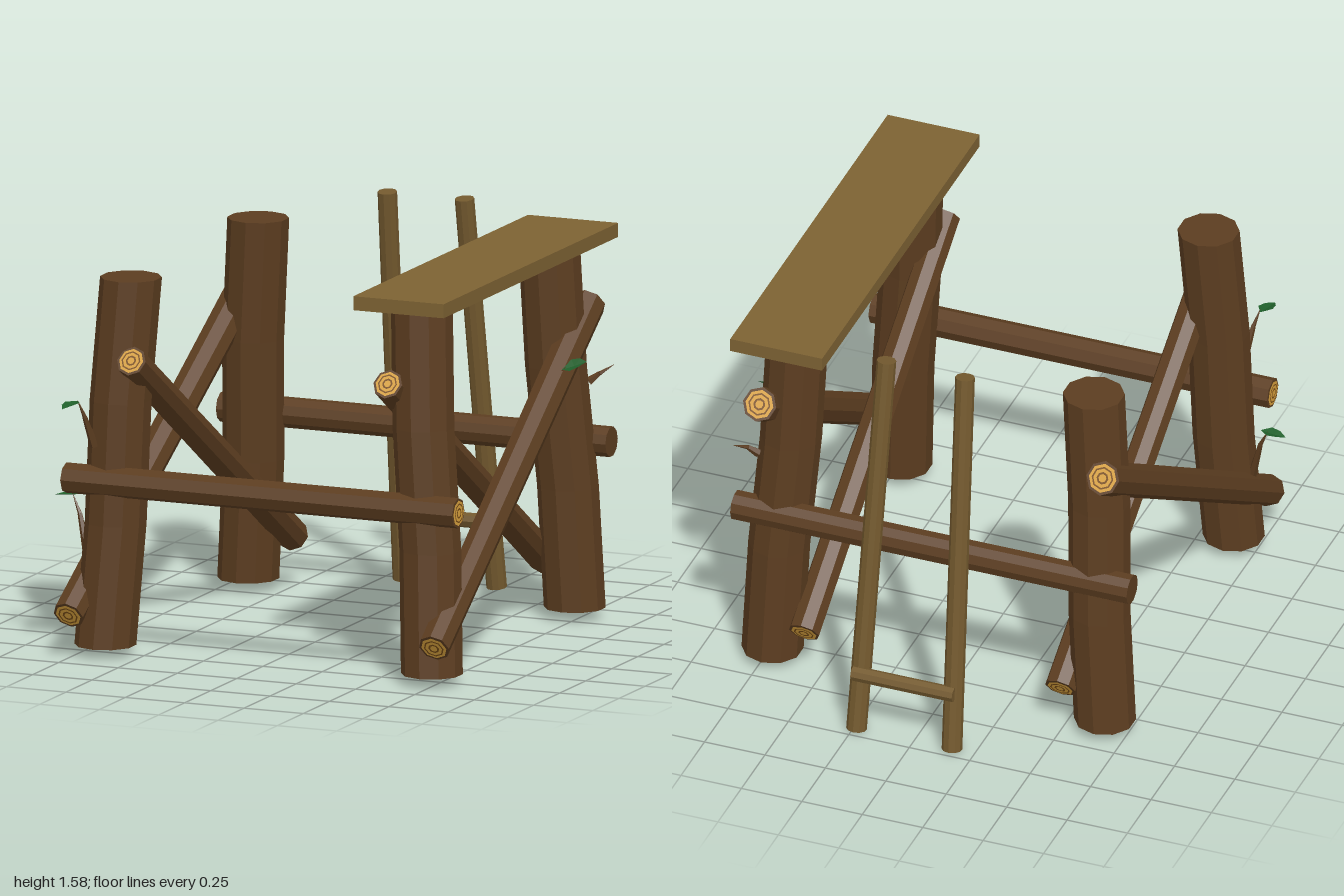
import * as THREE from 'three';

const V = (x, y, z) => new THREE.Vector3(x, y, z);
const mat = (name, color, extra = {}) => {
  const m = new THREE.MeshStandardMaterial({ color, flatShading: true, ...extra });
  m.name = name;
  return m;
};

export function createModel() {
  const model = new THREE.Group();
  model.name = 'logFrame';
  const bark = mat('bark', 0x5c3d20);
  const plankWood = mat('plankWood', 0x7d6233);
  const poleWood = mat('poleWood', 0x73592e);
  const cutWood = mat('cutWood', 0xd9a23e, { side: THREE.DoubleSide });
  const ringWood = mat('ringWood', 0x7a4f18, { side: THREE.DoubleSide });
  const leafGreen = mat('leafGreen', 0x1f5f2a, { side: THREE.DoubleSide });

  const add = (name, geometry, material, parent = model) => {
    const mesh = new THREE.Mesh(geometry, material);
    mesh.name = name;
    parent.add(mesh);
    return mesh;
  };

  // Growth rings: thin plates stacked on the cut face of a log
  const cutEnd = (parent, y, dir, r) => {
    const end = new THREE.Group();
    end.name = 'cutEnd';
    end.position.y = y;
    end.rotation.x = -dir * Math.PI / 2;
    parent.add(end);
    add('cutFace', new THREE.CircleGeometry(r * 0.84, 8), cutWood, end).position.z = 0.002;
    for (const [inner, outer] of [[0.56, 0.66], [0.24, 0.36]]) {
      add('growthRing', new THREE.RingGeometry(r * inner, r * outer, 8), ringWood, end).position.z = 0.004;
    }
  };

  // Round timber from a to b, with rings on its ends if wanted
  const log = (name, a, b, ra, rb, material, sides, rings = false) => {
    const group = new THREE.Group();
    group.name = name;
    const length = a.distanceTo(b);
    group.position.copy(a).add(b).multiplyScalar(0.5);
    group.quaternion.setFromUnitVectors(V(0, 1, 0), b.clone().sub(a).normalize());
    add(name + 'Wood', new THREE.CylinderGeometry(rb, ra, length, sides), material, group);
    if (rings) {
      cutEnd(group, length / 2, 1, rb);
      cutEnd(group, -length / 2, -1, ra);
    }
    model.add(group);
  };

  // Upright posts: cylinders sheared so they lean while their ends stay level
  const post = (name, bx, bz, tx, tz) => {
    const g = new THREE.CylinderGeometry(0.12, 0.12, 1.44, 10, 3);
    const p = g.attributes.position;
    for (let i = 0; i < p.count; i++) {
      const t = p.getY(i) / 1.44 + 0.5;
      const bow = 0.006 * Math.sin(t * Math.PI * 2);
      p.setXYZ(i, p.getX(i) + bx + (tx - bx) * t + bow, 0.04 + 1.44 * t, p.getZ(i) + bz + (tz - bz) * t - bow);
    }
    g.computeVertexNormals();
    add(name, g, bark);
  };
  post('frontRightPost', -0.65, 0.78, -0.575, 0.705);
  post('frontLeftPost', 0.725, 0.78, 0.65, 0.705);
  post('backRightPost', -0.65, -0.59, -0.575, -0.515);
  post('backLeftPost', 0.725, -0.59, 0.65, -0.515);

  // Crossed braces on both sides, outer and inner
  for (const s of [-1, 1]) {
    const side = s > 0 ? 'left' : 'right';
    const x = (d) => 0.03 + s * d;
    log(side + 'OuterBrace', V(x(0.77), 0.175, 0.93), V(x(0.71), 1.22, -0.69), 0.062, 0.068, bark, 8, true);
    log(side + 'InnerBrace', V(x(0.53), 0.2, -0.68), V(x(0.54), 1.18, 0.85), 0.062, 0.06, bark, 8, true);
  }

  // Horizontal rails
  log('frontRail', V(-0.79, 0.695, 0.835), V(0.86, 0.693, 0.835), 0.06, 0.06, bark, 8, true);
  log('backRail', V(-0.78, 0.695, -0.635), V(0.86, 0.693, -0.635), 0.06, 0.06, bark, 10);

  // Plank across the two left posts
  add('plank', new THREE.BoxGeometry(0.38, 0.055, 1.675), plankWood).position.set(0.65, 1.505, 0.0925);

  // Leaning ladder with a single rung
  for (const s of [-1, 1]) {
    log('ladderPole', V(0.0375 + s * 0.1975, 0.007, -0.957), V(0.0375 + s * 0.1625, 1.578, -0.728), 0.04, 0.038, poleWood, 10);
  }
  log('ladderRung', V(-0.17, 0.26, -0.957), V(0.25, 0.26, -0.957), 0.03, 0.03, poleWood, 8);

  // Twigs: thin tapering segments
  const twig = (name, points, r) => points.slice(1).forEach((b, i) => {
    const n = points.length - 1;
    log(name, points[i], b, r * (1 - i / n), r * (1 - (i + 1) / n) + 0.0008, bark, 5);
  });
  twig('frontTwig', [V(-0.67, 0.83, 0.84), V(-0.69, 0.95, 0.885), V(-0.71, 1.02, 0.91)], 0.018);
  twig('sideTwig', [V(-0.74, 0.36, 0.74), V(-0.785, 0.53, 0.715), V(-0.82, 0.605, 0.705)], 0.018);
  twig('backTwig', [V(0.78, 0.93, -0.6), V(0.815, 0.96, -0.62), V(0.855, 0.99, -0.67)], 0.018);
  twig('braceTwig', [V(0.77, 1.0, -0.3), V(0.81, 1.045, -0.31)], 0.008);

  // Leaves: pointed blades folded along the midrib
  const leaf = (base, tip, across) => {
    const at = (t, w, drop) => base.clone().lerp(tip, t).addScaledVector(across, w).add(V(0, drop, 0));
    const pts = [base, at(0.35, 0.03, 0.006), at(0.7, 0.022, 0.006), tip,
      at(0.7, -0.022, 0.006), at(0.35, -0.03, 0.006), at(0.5, 0, -0.002)];
    const g = new THREE.BufferGeometry().setFromPoints(pts);
    g.setIndex([0, 1, 6, 1, 2, 6, 2, 3, 6, 3, 4, 6, 4, 5, 6, 5, 0, 6]);
    g.computeVertexNormals();
    add('leaf', g, leafGreen);
  };
  leaf(V(-0.715, 1.015, 0.895), V(-0.735, 1.0, 1.0), V(1, 0, 0));
  leaf(V(-0.79, 0.605, 0.705), V(-0.895, 0.595, 0.705), V(0, 0, 1));
  leaf(V(0.795, 1.035, -0.305), V(0.89, 1.07, -0.33), V(0.2, -0.6, 0.77));

  return model;
}
